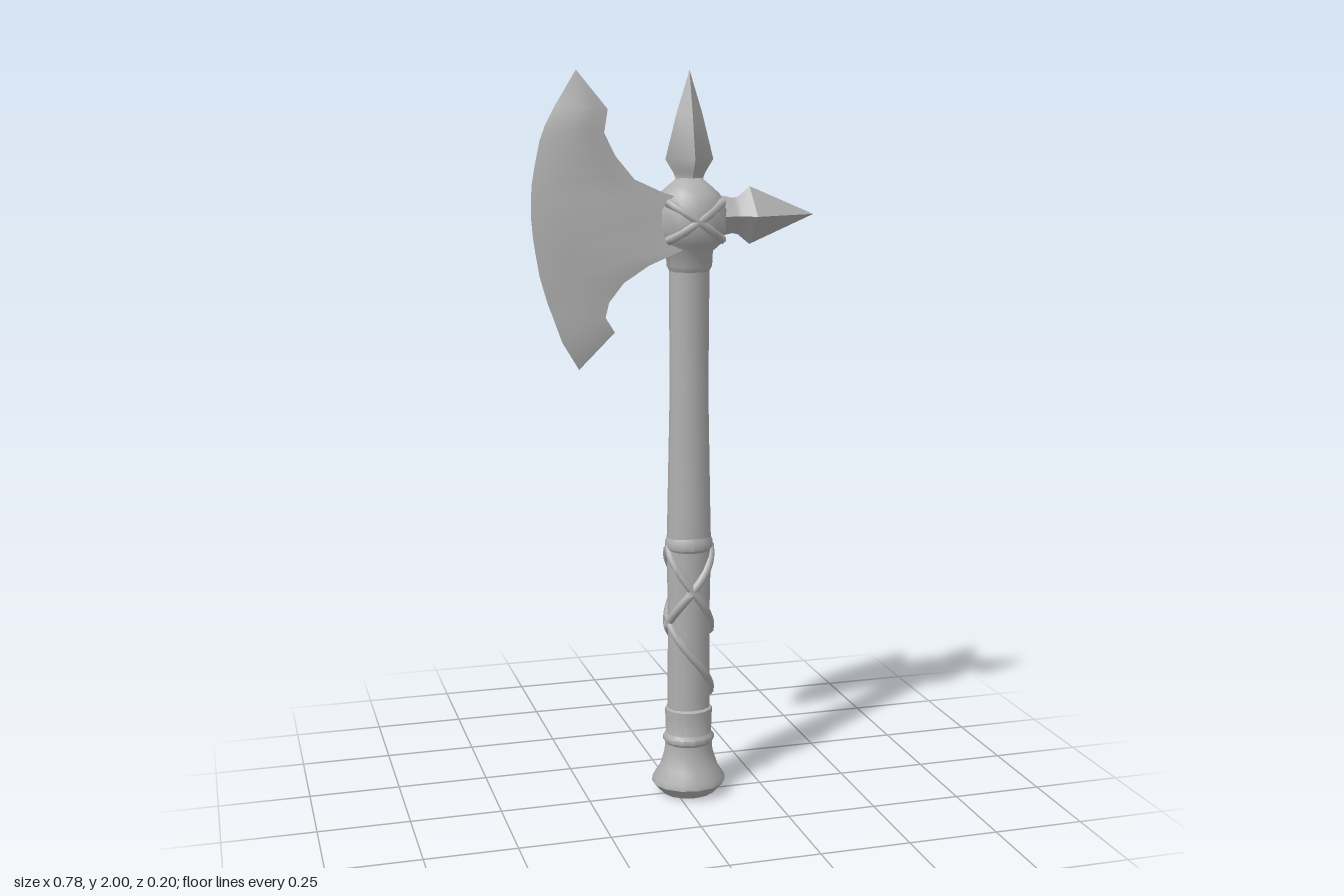
import * as THREE from 'three';
import { toCreasedNormals } from 'three/addons/utils/BufferGeometryUtils.js';

const AXIS = 0.037; // x of the shaft's centre line
const HEAD_Y = 1.62;

export function createModel() {
  const model = new THREE.Group();
  const metal = new THREE.MeshStandardMaterial({ color: 0xb0b0b0 });
  metal.name = 'plain grey';

  function add(name, geometry, crease = 0.7) {
    const mesh = new THREE.Mesh(toCreasedNormals(geometry, crease), metal);
    mesh.name = name;
    model.add(mesh);
    return mesh;
  }

  // Turned part, slightly flattened in z
  function turned(name, profile, sides, depth = 1, crease = 0.7) {
    const points = profile.map(([r, y]) => new THREE.Vector2(r, y));
    const mesh = add(name, new THREE.LatheGeometry(points, sides), crease);
    mesh.position.x = AXIS;
    mesh.scale.z = depth;
    return mesh;
  }

  // Shaft, grip collars and flared pommel
  turned('shaft', [[0.06, 0.14], [0.06, 0.3], [0.058, 0.5], [0.062, 0.72],
    [0.06, 0.8], [0.053, 1.15], [0.055, 1.5]], 14, 0.87, 0.9);
  turned('gripRing', [[0.058, 0.705], [0.066, 0.715], [0.066, 0.735], [0.058, 0.75]], 14, 0.9);
  turned('pommel', [[0, 0], [0.075, 0.004], [0.104, 0.035], [0.102, 0.05], [0.082, 0.08],
    [0.068, 0.125], [0.066, 0.15], [0.072, 0.158], [0.072, 0.17], [0.064, 0.18],
    [0.066, 0.235], [0.066, 0.25], [0.056, 0.255]], 14, 0.92);

  // Cords winding half a turn around the grip
  function cord(fromSide, face, top, bottom) {
    const points = [];
    for (let i = 0; i <= 8; i++) {
      const t = i / 8;
      const a = Math.PI * t;
      points.push(new THREE.Vector3(AXIS + fromSide * 0.06 * Math.cos(a),
        top + (bottom - top) * t, face * 0.055 * Math.sin(a)));
    }
    add('gripCord', new THREE.TubeGeometry(new THREE.CatmullRomCurve3(points), 20, 0.012, 6), 1.2);
  }
  for (const face of [1, -1]) {
    cord(1, face, 0.72, 0.49);
    cord(-1, face, 0.72, 0.47);
    cord(-1, face, 0.52, 0.29);
  }

  // Round socket that carries the blade and the spikes
  turned('socket', [[0.054, 1.475], [0.063, 1.49], [0.065, 1.53], [0.088, 1.55], [0.1, 1.585],
    [0.101, 1.64], [0.083, 1.68], [0.06, 1.7], [0.035, 1.72], [0, 1.725]], 12, 0.97, 1);

  // Crossed straps on both faces of the socket
  for (const face of [1, -1]) {
    for (const s of [1, -1]) {
      const curve = new THREE.QuadraticBezierCurve3(
        new THREE.Vector3(AXIS - 0.075, 1.61 - s * 0.05, face * 0.055),
        new THREE.Vector3(AXIS, 1.61, face * 0.125),
        new THREE.Vector3(AXIS + 0.075, 1.61 + s * 0.05, face * 0.055));
      add('socketStrap', new THREE.TubeGeometry(curve, 10, 0.012, 6), 1.2);
    }
  }

  // Four-sided spikes
  turned('topSpike', [[0.045, 1.69], [0.038, 1.72], [0.044, 1.735], [0.066, 1.77],
    [0.035, 1.89], [0, 2]], 4, 0.85);
  const side = turned('sideSpike', [[0.06, 0.06], [0.047, 0.12], [0.05, 0.135], [0.077, 0.168],
    [0, 0.35]], 4, 0.95);
  side.rotation.z = -Math.PI / 2;
  side.position.y = HEAD_Y;

  // Blade rows from lower to upper horn: outer x, y, inner x, y
  const rows = [
    [-0.267, 1.22, -0.267, 1.22], [-0.312, 1.295, -0.175, 1.32], [-0.335, 1.36, -0.2, 1.36],
    [-0.35, 1.4, -0.19, 1.4], [-0.37, 1.47, -0.15, 1.45], [-0.38, 1.53, -0.085, 1.495],
    [-0.386, 1.57, 0, 1.535], [-0.39, 1.62, 0.01, 1.61], [-0.39, 1.67, 0, 1.67],
    [-0.387, 1.71, -0.05, 1.687], [-0.378, 1.76, -0.12, 1.72], [-0.365, 1.82, -0.17, 1.78],
    [-0.35, 1.86, -0.2, 1.84], [-0.323, 1.91, -0.19, 1.9], [-0.267, 2, -0.267, 2],
  ];
  const rings = rows.map(([ox, oy, ix, iy]) => {
    const width = ix - ox;
    const at = (d, sign) => {
      const t = width ? d / width : 0;
      const x = ox + d;
      // flat cheek that swells towards the socket
      const half = width && d ? 0.026 + 0.035 * Math.max(0, Math.min(1, (x + 0.13) / 0.13)) : 0;
      return [x, oy + (iy - oy) * t, sign * half];
    };
    const bevel = Math.min(0.08, width * 0.5);
    const mid = Math.max(width * 0.72, (bevel + width) / 2);
    return [at(0, 1), at(bevel, 1), at(mid, 1), at(width, 1),
      at(width, -1), at(mid, -1), at(bevel, -1)];
  });
  const vertices = [];
  const last = rings.length - 1;
  for (let i = 0; i < last; i++) {
    for (let j = 0; j < 7; j++) {
      const k = (j + 1) % 7;
      const [a, b, c, d] = [rings[i][j], rings[i][k], rings[i + 1][k], rings[i + 1][j]];
      if (i > 0) vertices.push(...a, ...b, ...(i === last - 1 ? d : c));
      if (i < last - 1) vertices.push(...a, ...c, ...d);
    }
  }
  const blade = new THREE.BufferGeometry();
  blade.setAttribute('position', new THREE.Float32BufferAttribute(vertices, 3));
  blade.computeVertexNormals();
  add('blade', blade, 0.6);

  return model;
}
